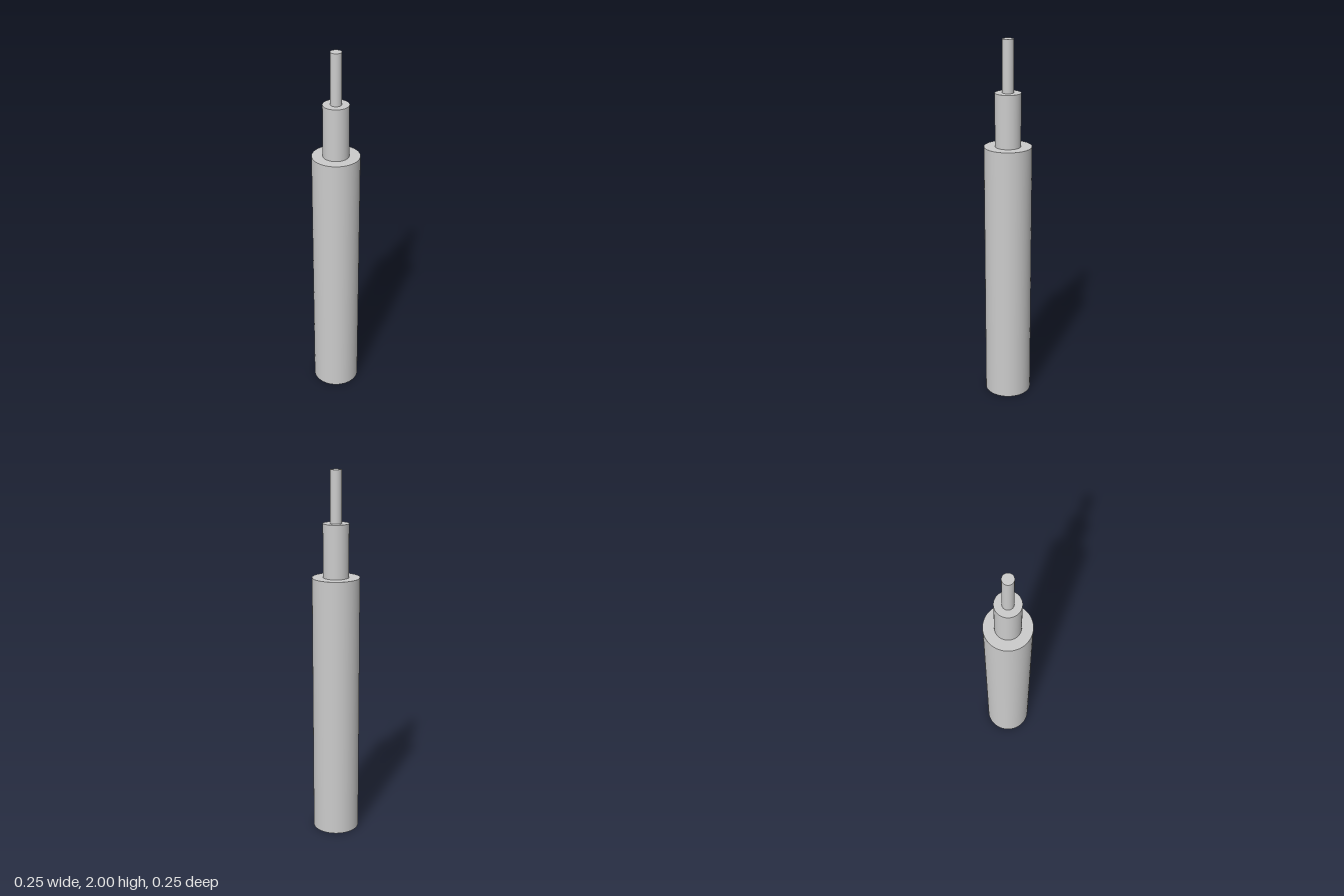
import * as THREE from 'three';

// Stacked coaxial cylinders: name, radius, bottom and top height
const SECTIONS = [
  ['outerJacket', 0.127, 0, 1.44],
  ['innerInsulation', 0.069, 1.44, 1.725],
  ['coreConductor', 0.03, 1.725, 2],
];

export function createModel() {
  const group = new THREE.Group();
  group.name = 'steppedCable';
  const material = new THREE.MeshStandardMaterial({ color: 0xcccccc });

  for (const [name, radius, bottom, top] of SECTIONS) {
    const geometry = new THREE.CylinderGeometry(radius, radius, top - bottom, 64);
    const mesh = new THREE.Mesh(geometry, material);
    mesh.name = name;
    mesh.position.y = (bottom + top) / 2;
    group.add(mesh);
  }
  return group;
}
